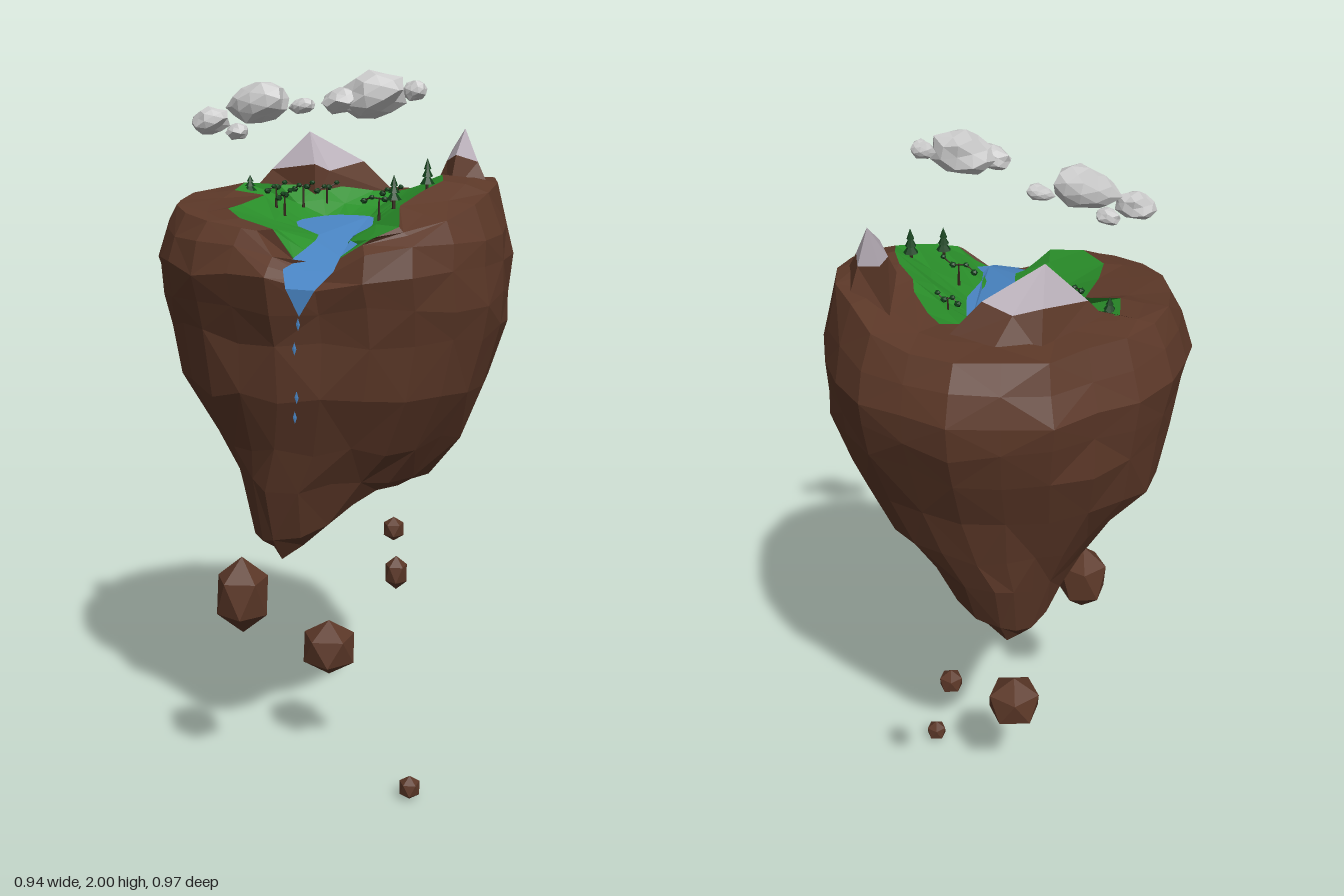
import * as THREE from 'three';

const N = 24;
const mat = (color, side = THREE.FrontSide) => new THREE.MeshStandardMaterial({ color, side, flatShading: true });
const MATS = {
  earth: mat(0x5c3828), grass: mat(0x2a8f2a), water: mat(0x4a86c5, THREE.DoubleSide),
  snow: mat(0xb8aeb8), leaf: mat(0x12401a), wood: mat(0x33261a), cloud: mat(0xcccccc),
};

let seed = 7;
const jitter = (amount) => {
  seed = (seed * 16807) % 2147483647;
  return (seed / 2147483647 - 0.5) * 2 * amount;
};

function add(parent, name, geometry, material, pos = [0, 0, 0], scale = [1, 1, 1]) {
  const mesh = new THREE.Mesh(geometry, material);
  mesh.name = name;
  mesh.position.set(...pos);
  mesh.scale.set(...scale);
  parent.add(mesh);
  return mesh;
}

// Skin a list of closed rings, ordered from the inside/top outwards and down
function loft(rings) {
  const n = rings[0].length, index = [];
  for (let r = 0; r < rings.length - 1; r++) {
    for (let k = 0; k < n; k++) {
      const a = r * n + k, c = r * n + (k + 1) % n;
      if ((r + k) % 2) index.push(a, c, a + n, c, c + n, a + n);
      else index.push(a, c, c + n, a, c + n, a + n);
    }
  }
  const g = new THREE.BufferGeometry();
  g.setAttribute('position', new THREE.Float32BufferAttribute(rings.flat(2), 3));
  g.setIndex(index);
  const flat = g.toNonIndexed();
  flat.computeVertexNormals();
  return flat;
}

const mixRings = (a, b, t, wobble) => a.map((p, k) =>
  p.map((v, i) => v + (b[k][i] - v) * t + (i === 1 ? jitter(wobble) : 0)));

// Plan outlines, clockwise from the +x side
const RIM = [.47, .478, .475, .475, .46, .42, .47, .445, .46, .47, .47, .48,
  .47, .475, .465, .46, .48, .475, .49, .48, .49, .48, .48, .475];
const CREST_Y = [1.70, 1.68, 1.65, 1.62, 1.60, 1.53, 1.57, 1.63, 1.64, 1.65, 1.66, 1.66,
  1.67, 1.67, 1.67, 1.67, 1.66, 1.66, 1.66, 1.66, 1.68, 1.71, 1.72, 1.715];
const MEADOW = [[.31, 1.73, .04], [.28, 1.71, .11], [.25, 1.68, .2], [.28, 1.64, .29], [.24, 1.62, .34], [.15, 1.555, .345],
  [.035, 1.555, .36], [-.02, 1.63, .365], [-.12, 1.65, .34], [-.2, 1.66, .24], [-.21, 1.66, .14], [-.21, 1.67, -.01],
  [-.3, 1.68, -.01], [-.325, 1.69, -.13], [-.21, 1.69, -.11], [-.1, 1.69, -.15], [-.03, 1.68, -.2], [.02, 1.67, -.24],
  [.09, 1.67, -.26], [.13, 1.68, -.23], [.19, 1.7, -.16], [.21, 1.71, -.11], [.26, 1.73, -.07], [.29, 1.74, -.02]];
const POND = [[.12, .05], [.12, .12], [.12, .18], [.135, .24], [.17, .28], [.15, .345],
  [.035, .36], [.045, .32], [.05, .26], [.03, .19], [-.02, .14], [-.07, .09],
  [-.1, .03], [-.1, -.01], [-.08, -.05], [-.06, -.08], [-.03, -.1], [0, -.105],
  [.03, -.105], [.06, -.1], [.08, -.08], [.09, -.05], [.1, -.02], [.11, .01]];
const waterY = (z) => 1.609 - 0.06 * z - 0.3 * Math.max(0, z - 0.28);

// Cross-section of the rock: height, centre x, reach to -x, +x, -z, +z, how much of the rim's unevenness stays, corner cut
function section([y, cx, left, right, back, front, uneven, cut = 0], wobble) {
  return RIM.map((r, k) => {
    const a = k / N * Math.PI * 2;
    const f = 1 + (r / 0.47 - 1) * uneven - cut * Math.sin(2 * a) ** 2 + jitter(wobble);
    const c = Math.cos(a) * f, s = Math.sin(a) * f;
    return [cx + c * (c < 0 ? left : right), y + jitter(wobble), s * (s < 0 ? back : front)];
  });
}

function island(group) {
  const crest = section([0, 0, .415, .425, .415, .41, 1], 0.015).map(([x, , z], k) => [x, CREST_Y[k], z]);
  const rings = [MEADOW, mixRings(MEADOW, crest, 0.5, 0.008), crest];
  // The two rings under the crest stay below it, so the outlet remains a notch
  const shoulders = [[1.6, 0, .445, .455, .45, .445, 1], [1.52, 0, .47, .463, .475, .47, 1]];
  shoulders.forEach((s, i) => rings.push(section(s, 0.012).map(([x, y, z], k) =>
    [x, Math.min(y, CREST_Y[k] - 0.02 * (i + 1)), z])));
  const sides = [[1.44, 0, .46, .465, .465, .44, .8], [1.35, 0, .447, .46, .447, .41, .5],
    [1.2, 0, .42, .42, .385, .395, .2], [1.06, -.03, .29, .385, .365, .345, 0, .04], [.95, -.07, .18, .34, .34, .32, 0, .07]];
  sides.forEach((s) => rings.push(section(s, 0.016)));
  // Underside with two hanging points
  const base = rings[rings.length - 1];
  for (const f of [0.85, 0.67, 0.45, 0.22, 0]) {
    rings.push(base.map(([bx, , bz]) => {
      const x = -0.07 + (bx + 0.07) * f, z = bz * f;
      let y = 0.88 + 0.05 * f * f;
      for (const s of [-1, 1]) y -= 0.19 * Math.max(0, 1 - Math.hypot((x + 0.07) / 0.24, (z - s * 0.22) / 0.16));
      return [x, y, z];
    }));
  }
  add(group, 'islandRock', loft(rings), MATS.earth);

  // Meadow, closed by a bed below the pond
  const shore = POND.map(([x, z]) => [x, waterY(z) - 0.002, z]);
  const bed = POND.map(() => [0.05, 1.55, 0.1]);
  add(group, 'meadow', loft([bed, shore, mixRings(shore, MEADOW, 0.5, 0.008), MEADOW]), MATS.grass);
}

function water(group) {
  const outline = [...POND.slice(0, 6), [.16, .42], [.03, .42], ...POND.slice(6)];
  const pond = new THREE.ShapeGeometry(new THREE.Shape(outline.map(([x, z]) => new THREE.Vector2(x, -z))));
  pond.rotateX(-Math.PI / 2);
  const p = pond.attributes.position;
  for (let i = 0; i < p.count; i++) p.setY(i, waterY(p.getZ(i)));
  add(group, 'pond', pond, MATS.water);

  // Tapering fall over the edge
  const fall = new THREE.BufferGeometry(), top = waterY(0.42);
  fall.setAttribute('position', new THREE.Float32BufferAttribute([
    .03, top, .42, .16, top, .42, .06, 1.505, .475, .135, 1.505, .475, .095, 1.44, .475], 3));
  fall.setIndex([0, 2, 1, 1, 2, 3, 2, 4, 3]);
  fall.computeVertexNormals();
  add(group, 'waterfall', fall, MATS.water);
  [[.09, 1.42], [.08, 1.36], [.085, 1.24], [.08, 1.19]].forEach(([x, y]) =>
    add(group, 'waterDrop', new THREE.OctahedronGeometry(0.008), MATS.water, [x, y, 0.47], [0.7, 2, 0.15]));
}

// Snow cap with a rocky slope below it, spreading wider on the outer side of the island
function mountain(group, tip, capY, outline, slopeY, near, far) {
  const ring = outline.map(([x, z], k) => [x, capY + (k % 2 ? 0.012 : -0.008), z]);
  const slope = outline.map(([x, z]) => {
    const spread = Math.hypot(x, z) > Math.hypot(tip[0], tip[2]) ? far : near;
    return [tip[0] + (x - tip[0]) * spread, slopeY, tip[2] + (z - tip[2]) * spread];
  });
  add(group, 'snowCap', loft([outline.map(() => tip), ring]), MATS.snow);
  add(group, 'mountainSlope', loft([ring, slope]), MATS.earth);
}

function pine(group, x, y, z, h) {
  const tree = new THREE.Group();
  tree.name = 'pineTree';
  tree.position.set(x, y, z);
  add(tree, 'trunk', new THREE.CylinderGeometry(0.004, 0.005, h * 0.5, 5), MATS.wood, [0, h * 0.2, 0]);
  for (let i = 0; i < 3; i++) {
    add(tree, 'needles', new THREE.ConeGeometry(0.02 - i * 0.005, h * 0.34, 7), MATS.leaf, [0, h * (0.4 + i * 0.22), 0]);
  }
  group.add(tree);
}

// Small branching tree: trunk, crooked arm and a row of leaf clumps
function branchingTree(group, [x, y, z, turn, length]) {
  const tree = new THREE.Group();
  tree.name = 'branchingTree';
  tree.position.set(x, y, z);
  tree.rotation.y = turn;
  const clumps = [-0.5, -0.2, 0.15, 0.5].map((t, i) =>
    new THREE.Vector3(t * length, 0.034 + (i % 2) * 0.008 + t * 0.012, i % 2 ? 0.004 : -0.004));
  add(tree, 'trunk', new THREE.CylinderGeometry(0.002, 0.004, 0.06, 5), MATS.wood, [0, 0.01, 0]);
  const arm = new THREE.CatmullRomCurve3(clumps);
  add(tree, 'branch', new THREE.TubeGeometry(arm, 6, 0.002, 4), MATS.wood);
  clumps.forEach((c, i) => add(tree, 'leafClump', new THREE.IcosahedronGeometry(i % 2 ? 0.008 : 0.01, 0),
    MATS.leaf, c.toArray(), [1, 0.85, 1]));
  group.add(tree);
}

// Lumpy puff: a faceted ball whose corners are pushed in and out
function puffGeometry(phase) {
  const g = new THREE.IcosahedronGeometry(1, 1);
  const p = g.attributes.position, v = new THREE.Vector3();
  for (let i = 0; i < p.count; i++) {
    v.fromBufferAttribute(p, i);
    v.multiplyScalar(1 + 0.16 * Math.sin(v.x * 5 + phase) * Math.cos(v.y * 6 + v.z * 4 + phase));
    p.setXYZ(i, v.x, v.y, v.z);
  }
  g.computeVertexNormals();
  return g;
}

export function createModel() {
  const model = new THREE.Group();
  model.name = 'floatingIsland';
  island(model);
  water(model);

  mountain(model, [-.155, 1.83, -.2], 1.735,
    [[-.08, -.16], [-.11, -.125], [-.25, -.15], [-.17, -.27], [-.1, -.285], [-.02, -.27]], 1.65, 1.1, 1.65);
  mountain(model, [.31, 1.85, -.15], 1.775,
    [[.355, -.12], [.31, -.07], [.27, -.12], [.25, -.23], [.32, -.2]], 1.68, 1.8, 2.2);

  pine(model, -.29, 1.66, -.09, .055);
  pine(model, .265, 1.70, .03, .085);
  pine(model, .215, 1.67, .145, .08);
  [[-.07, 1.65, -.115, 1.0, .06], [-.12, 1.655, -.068, 0, .055], [-.18, 1.655, -.02, 1.0, .05], [-.138, 1.64, .02, .8, .03],
    [.11, 1.645, -.138, 0, .055], [.15, 1.645, .073, -.25, .1]].forEach((t) => branchingTree(model, t));

  // Clouds: x, y, z, half sizes
  [[-.18, 1.918, .088, .083, .052, .052], [-.3, 1.872, .128, .052, .034, .035], [-.235, 1.845, .105, .032, .022, .022],
    [-.075, 1.91, .045, .035, .02, .023], [.17, 1.945, .185, .085, .055, .055], [.1, 1.932, .21, .052, .032, .035],
    [.265, 1.955, .145, .032, .025, .023]].forEach(([x, y, z, a, b, c], i) => {
    add(model, 'cloud', puffGeometry(i), MATS.cloud, [x, y, z], [a, b, c]).rotation.z = 0.15;
  });

  // Drifting boulders, corner up: x, y, z, half width, half height
  const boulder = new THREE.IcosahedronGeometry(1, 0).rotateZ(0.5536);
  [[-.165, .62, .27, .08, .11], [-.04, .355, -.05, .086, .085], [.055, .64, -.345, .035, .038],
    [.245, .71, .18, .033, .047], [.265, .036, .1, .033, .036]].forEach(([x, y, z, r, h]) =>
    add(model, 'boulder', boulder, MATS.earth, [x, y, z], [r, h, r]));
  return model;
}
